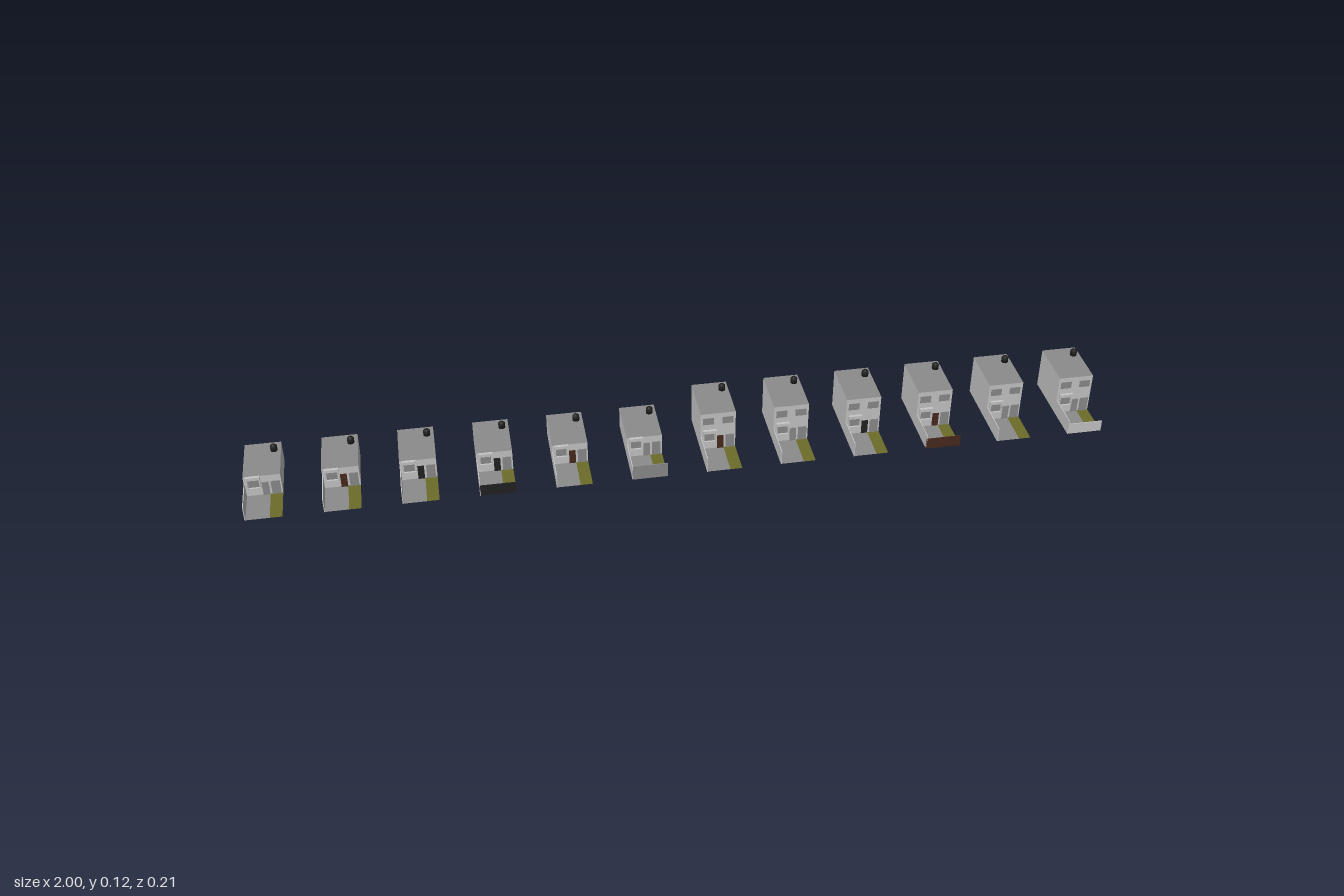
import * as THREE from 'three';

const W = 0.083, BACK = -0.105, FACADE = 0.018, FRONT = 0.105;

function mat(name, color, side = THREE.FrontSide) {
  const m = new THREE.MeshStandardMaterial({ color, side });
  m.name = name;
  return m;
}

export function createModel() {
  const wall = mat('pale wall', 0xc6c6c6, THREE.DoubleSide);
  const grey = mat('grey concrete', 0x8c8c8c, THREE.DoubleSide);
  const grass = mat('olive grass', 0x6c6c2a, THREE.DoubleSide);
  const black = mat('black', 0x222222);
  const brown = mat('dark brown', 0x4a2a1e);

  // Box given by its min and max corners
  function box(parent, name, material, x0, x1, y0, y1, z0, z1) {
    const m = new THREE.Mesh(new THREE.BoxGeometry(x1 - x0, y1 - y0, z1 - z0), material);
    m.position.set((x0 + x1) / 2, (y0 + y1) / 2, (z0 + z1) / 2);
    m.name = name;
    parent.add(m);
  }

  // Flat horizontal sheet
  function sheet(parent, name, material, x0, x1, z0, z1, y) {
    const m = new THREE.Mesh(new THREE.PlaneGeometry(x1 - x0, z1 - z0).rotateX(-Math.PI / 2), material);
    m.position.set((x0 + x1) / 2, y, (z0 + z1) / 2);
    m.name = name;
    parent.add(m);
  }

  // Hollow shell without a floor: four walls and a grey roof
  function shell(parent, h) {
    const g = new THREE.BoxGeometry(W, h, FACADE - BACK);
    const faces = [...g.index.array];
    faces.splice(18, 6);
    g.setIndex(faces);
    g.clearGroups();
    g.addGroup(0, 12, 0);
    g.addGroup(12, 6, 1);
    g.addGroup(18, 12, 0);
    const m = new THREE.Mesh(g, [wall, grey]);
    m.position.set(0, h / 2, (BACK + FACADE) / 2);
    m.name = 'houseShell';
    parent.add(m);
  }

  // Water tank with a domed lid
  const tankProfile = [[0, 0], [0.008, 0], [0.008, 0.012], [0.005, 0.0155], [0, 0.017]]
    .map(([r, y]) => new THREE.Vector2(r, y));
  const tankGeo = new THREE.LatheGeometry(tankProfile, 16);

  function house(tall, door, gate) {
    const g = new THREE.Group();
    const h = tall ? 0.1 : 0.054, half = W / 2, f = FACADE;
    shell(g, h);

    const tank = new THREE.Mesh(tankGeo, black);
    tank.position.set(0.026, h, -0.075);
    tank.name = 'waterTank';
    g.add(tank);

    // Front yard
    sheet(g, 'paving', grey, -half, 0.0135, f, FRONT, 0.0005);
    sheet(g, 'lawn', grass, 0.0135, half, f, FRONT, 0.0005);
    box(g, 'yardWall', wall, -half, -half + 0.002, 0, 0.037, f, FRONT);

    // Projecting window frame: hood, sill and sides around a recessed pane
    const wx0 = -0.036, wx1 = -0.004;
    box(g, 'windowHood', wall, wx0, wx1, 0.047, 0.055, f, f + 0.007);
    box(g, 'windowSill', wall, wx0, wx1, 0.02, 0.023, f, f + 0.004);
    for (const x of [wx0, wx1 - 0.003])
      box(g, 'windowSide', wall, x, x + 0.003, 0.023, 0.047, f, f + 0.005);
    box(g, 'windowPane', grey, wx0 + 0.004, wx1 - 0.004, 0.024, 0.043, f, f + 0.001);

    // Doors
    box(g, 'frontDoor', door, -0.002, 0.013, 0, 0.036, f, f + 0.002);
    box(g, 'sideDoor', grey, 0.018, 0.038, 0, 0.037, f, f + 0.002);

    // Upper windows
    if (tall) for (const x of [-0.023, 0.023])
      box(g, 'upperWindow', grey, x - 0.013, x + 0.013, 0.07, 0.088, f, f + 0.001);

    // Street gate
    if (gate) box(g, 'gate', gate, -half, half, 0, gate === grey ? 0.037 : 0.028, FRONT - 0.002, FRONT);
    return g;
  }

  // Row of twelve: six low houses, then six tall ones
  const row = [
    [grey], [brown], [black], [black, black], [brown], [grey, wall],
    [brown], [grey], [black], [brown, brown], [grey], [grey, wall],
  ];
  const model = new THREE.Group();
  model.name = 'houseRow';
  row.forEach(([door, gate], i) => {
    const g = house(i >= 6, door, i === 5 ? grey : gate);
    g.position.x = -0.9585 + i * (1.917 / 11);
    g.name = (i < 6 ? 'lowHouse' : 'tallHouse') + (i % 6 + 1);
    model.add(g);
  });
  return model;
}
